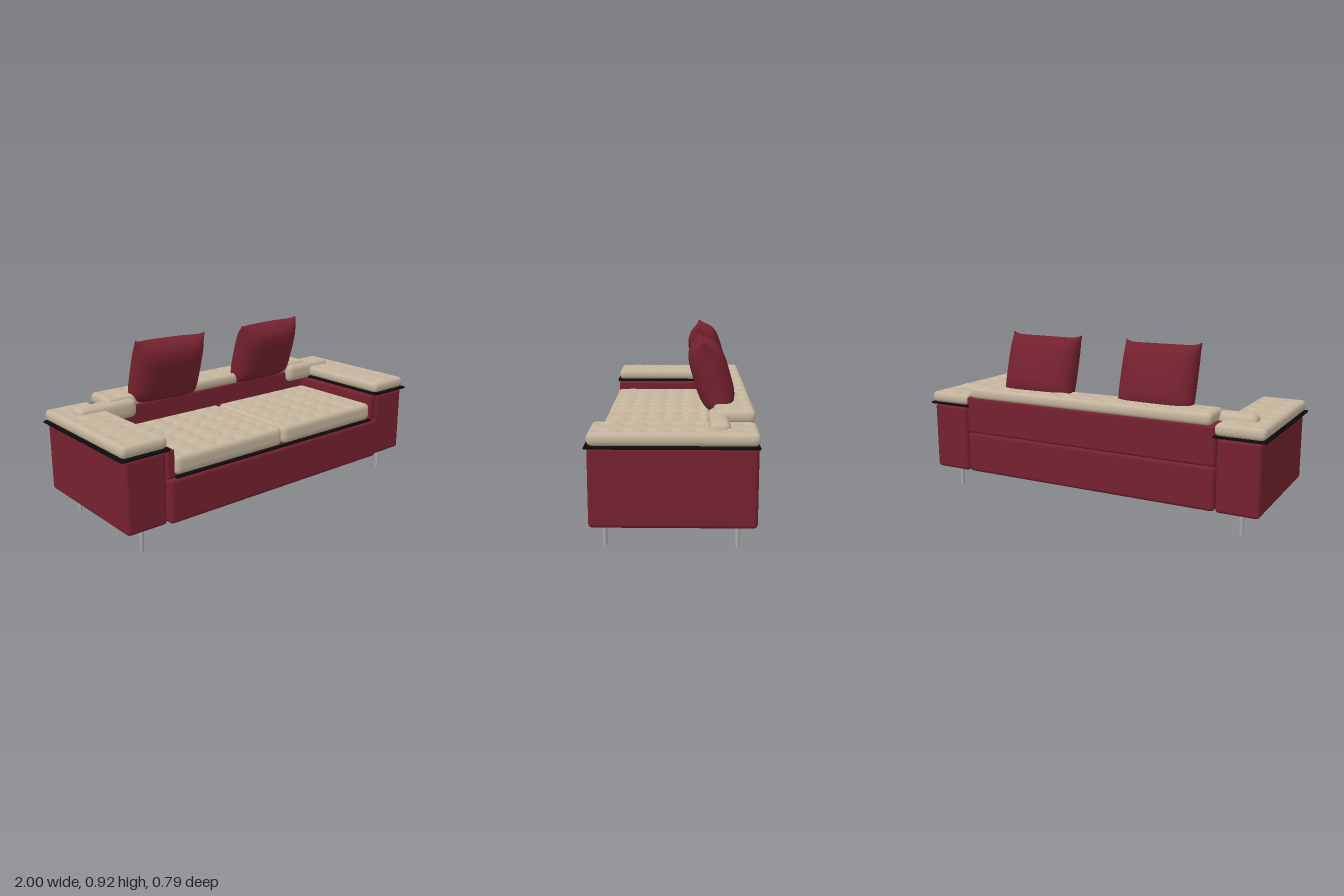
import * as THREE from 'three';
import { mergeVertices } from 'three/addons/utils/BufferGeometryUtils.js';
import { RoundedBoxGeometry } from 'three/addons/geometries/RoundedBoxGeometry.js';

const mat = (name, color) => Object.assign(new THREE.MeshStandardMaterial({ color }), { name });

// Weld the vertices so that normals run smoothly over the edges
function smooth(geometry) {
  geometry.deleteAttribute('normal');
  geometry.deleteAttribute('uv');
  const welded = mergeVertices(geometry, 1e-5);
  welded.computeVertexNormals();
  return welded;
}

// Rounded slab with rows of dimples pressed into its top
function tuftedGeometry(w, h, d, r, cols, rows, depth) {
  const step = 0.0125;
  const g = new THREE.BoxGeometry(w, h, d, Math.ceil(w / step), Math.ceil(h / step), Math.ceil(d / step));
  const pos = g.attributes.position;
  const inner = new THREE.Vector3(w / 2 - r, h / 2 - r, d / 2 - r);
  const p = new THREE.Vector3(), c = new THREE.Vector3();
  for (let i = 0; i < pos.count; i++) {
    p.fromBufferAttribute(pos, i);
    c.copy(p).clamp(inner.clone().negate(), inner);
    p.sub(c).normalize().multiplyScalar(r).add(c);
    if (cols && p.y > 0) {
      const a = Math.sin(Math.PI * cols * (p.x / w + 0.5));
      const b = Math.sin(Math.PI * rows * (p.z / d + 0.5));
      p.y -= depth * Math.pow(Math.abs(a * b), 4) * Math.min(1, (p.y * 2) / h);
    }
    pos.setXYZ(i, p.x, p.y, p.z);
  }
  return smooth(g);
}

// Stuffed pillow: two bulging sheets meeting at a seam with pulled-out corners
function pillowGeometry(w, h, t) {
  const n = 28;
  const g = new THREE.BoxGeometry(2, 2, 2, n, n, 1);
  const pos = g.attributes.position;
  for (let i = 0; i < pos.count; i++) {
    const u = Math.sin((pos.getX(i) * Math.PI) / 2);
    const v = Math.sin((pos.getY(i) * Math.PI) / 2);
    const side = Math.sign(pos.getZ(i));
    const bulge = Math.sqrt(Math.max(0, (1 - u ** 4) * (1 - v ** 4)));
    const ear = 0.03 * Math.pow(Math.abs(u * v), 10);
    pos.setXYZ(i,
      (w / 2) * u * (0.97 + ear),
      (h / 2) * v * (0.97 + (v > 0 ? 3 * ear : ear)),
      side * (0.004 + (t / 2) * bulge));
  }
  return smooth(g);
}

export function createModel() {
  const group = new THREE.Group();
  const red = mat('red leather', 0x74212f);
  const cream = mat('cream fabric', 0xc4b49c);
  const black = mat('black trim', 0x0b0b0b);
  const metal = mat('leg metal', 0xa9a9a9);

  const add = (name, geometry, material, x, y, z) => {
    const mesh = new THREE.Mesh(geometry, material);
    mesh.name = name;
    mesh.position.set(x, y, z);
    group.add(mesh);
    return mesh;
  };
  // Parts below are given by their limits along each axis
  const box = (name, material, [x0, x1], [y0, y1], [z0, z1], r) =>
    add(name, new RoundedBoxGeometry(x1 - x0, y1 - y0, z1 - z0, 3, r), material,
      (x0 + x1) / 2, (y0 + y1) / 2, (z0 + z1) / 2);
  const cushion = (name, [x0, x1], [y0, y1], [z0, z1], r, cols, rows, depth) =>
    add(name, tuftedGeometry(x1 - x0, y1 - y0, z1 - z0, r, cols, rows, depth), cream,
      (x0 + x1) / 2, (y0 + y1) / 2, (z0 + z1) / 2);

  // Base, backrest and its top cushion
  box('base', red, [-0.745, 0.745], [0.13, 0.36], [-0.39, 0.395], 0.02);
  box('backrest', red, [-0.745, 0.745], [0.358, 0.565], [-0.39, -0.205], 0.015);
  cushion('backrestCushion', [-0.72, 0.72], [0.558, 0.622], [-0.395, -0.2], 0.025, 11, 2, 0.012);

  // Black rail under the front of the seat
  box('seatRail', black, [-0.7, 0.7], [0.355, 0.367], [0.36, 0.385], 0.004);

  const mirror = (s, [a, b]) => (s > 0 ? [a, b] : [-b, -a]);
  for (const s of [1, -1]) {
    const side = s > 0 ? 'left' : 'right';

    // Arm with its board and cushion
    box(side + 'Arm', red, mirror(s, [0.75, 0.975]), [0.13, 0.507], [-0.392, 0.375], 0.02);
    box(side + 'InnerPanel', red, mirror(s, [0.7, 0.745]), [0.358, 0.505], [-0.38, 0.375], 0.012);
    box(side + 'ArmBoard', black, mirror(s, [0.73, 0.998]), [0.505, 0.517], [-0.395, 0.385], 0.004);
    cushion(side + 'ArmCushion', mirror(s, [0.735, 0.99]), [0.515, 0.577], [-0.396, 0.375], 0.025, 2, 7, 0.01);

    // Bolster filling the inner corner and resting on the arm
    cushion(side + 'Bolster', mirror(s, [0.555, 0.905]), [0.5, 0.606], [-0.27, -0.17], 0.035, 0, 0, 0);

    // Seat cushion
    cushion(side + 'SeatCushion', mirror(s, [0.006, 0.695]), [0.365, 0.464], [-0.2, 0.377], 0.028, 6, 6, 0.014);

    // Loose pillow
    const pillow = add(side + 'Pillow', pillowGeometry(0.435, 0.365, 0.178), red, s * 0.355, 0.735, -0.192);
    pillow.rotation.set(0.29, s * 0.04, 0);

    // Tapered legs
    for (const [end, z] of [['Front', 0.31], ['Back', -0.307]]) {
      add(side + end + 'Leg', new THREE.CylinderGeometry(0.014, 0.009, 0.135, 20), metal, s * 0.865, 0.0675, z);
    }
  }
  return group;
}
